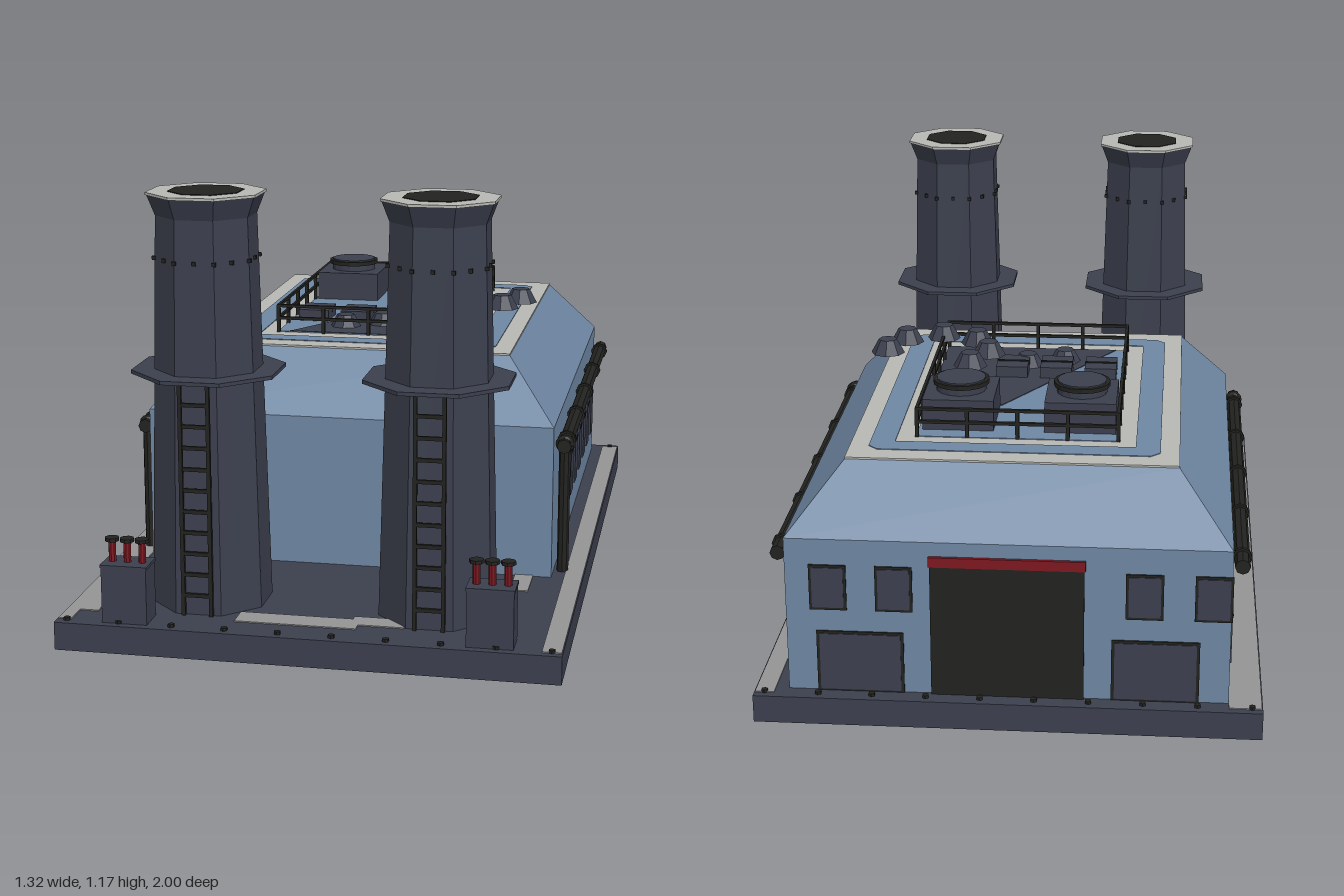
import * as THREE from 'three';

const mat = (name, color, side = THREE.FrontSide) => {
  const m = new THREE.MeshStandardMaterial({ color, side, flatShading: true });
  m.name = name;
  return m;
};

export function createModel() {
  const root = new THREE.Group();
  root.name = 'powerPlant';
  const blue = mat('wallBlue', 0x6f87a3);
  const dark = mat('slateDark', 0x3c404e, THREE.DoubleSide);
  const black = mat('nearBlack', 0x222220);
  const pale = mat('paleTrim', 0xb8b8b4);
  const concrete = mat('concrete', 0x949494);
  const red = mat('signalRed', 0x7e1820);

  const add = (name, geo, m, x = 0, y = 0, z = 0, parent = root) => {
    const mesh = new THREE.Mesh(geo, m);
    mesh.name = name;
    mesh.position.set(x, y, z);
    parent.add(mesh);
    return mesh;
  };
  // Box given by its minimum and maximum corners
  const span = (name, m, x0, x1, y0, y1, z0, z1, parent = root) =>
    add(name, new THREE.BoxGeometry(x1 - x0, y1 - y0, z1 - z0), m,
      (x0 + x1) / 2, (y0 + y1) / 2, (z0 + z1) / 2, parent);
  const group = (name, x = 0, y = 0, z = 0) => {
    const g = new THREE.Group();
    g.name = name;
    g.position.set(x, y, z);
    root.add(g);
    return g;
  };
  // Octagonal prism with flat sides square to the axes, sized across the flats
  const K = Math.cos(Math.PI / 8);
  const oct = (top, bottom, h, open = false) =>
    new THREE.CylinderGeometry(top / K, bottom / K, h, 8, 1, open, Math.PI / 8);
  // Rectangle outline with chamfered corners
  const outline = (Kind, w, d, c) => new Kind([
    [-w + c, -d], [w - c, -d], [w, -d + c], [w, d - c],
    [w - c, d], [-w + c, d], [-w, d - c], [-w, -d + c],
  ].map(([x, y]) => new THREE.Vector2(x, y)));
  const plate = (shape, h) =>
    new THREE.ExtrudeGeometry(shape, { depth: h, bevelEnabled: false }).rotateX(-Math.PI / 2);

  // Foundation: a tray open underneath
  const baseGeo = new THREE.BoxGeometry(1.315, 0.075, 2);
  const idx = Array.from(baseGeo.index.array);
  idx.splice(18, 6);
  baseGeo.setIndex(idx);
  baseGeo.clearGroups();
  add('foundation', baseGeo, dark, 0, 0.0375, 0);
  // Concrete walkways and patches
  for (const [x0, x1, z0, z1] of [
    [-0.655, -0.57, -0.98, 0.9], [0.605, 0.655, -0.98, 0.98], [-0.655, -0.62, 0.9, 0.97],
    [-0.525, -0.47, 0.41, 0.62], [0.47, 0.52, 0.41, 0.54],
    [-0.2, 0.12, 0.84, 0.91], [0.1, 0.24, 0.82, 0.88],
  ]) span('concretePatch', concrete, x0, x1, 0.073, 0.078, z0, z1);
  // Bolts along the front and back edges
  for (let i = 0; i < 10; i++) for (const z of [-0.975, 0.975])
    add('edgeBolt', new THREE.CylinderGeometry(0.009, 0.009, 0.01, 6), black, -0.63 + i * 0.14, 0.078, z);

  // Main hall and its sloping roof
  const CZ = -0.27;
  span('hallWalls', blue, -0.57, 0.57, 0.075, 0.5, CZ - 0.68, CZ + 0.68);
  const roof = new THREE.BoxGeometry(1.14, 0.165, 1.36);
  const p = roof.attributes.position;
  for (let i = 0; i < p.count; i++) if (p.getY(i) > 0) {
    p.setX(i, Math.sign(p.getX(i)) * 0.43);
    p.setZ(i, Math.sign(p.getZ(i)) * 0.54);
  }
  roof.computeVertexNormals();
  add('slopedRoof', roof, blue, 0, 0.5825, CZ);
  add('roofTrim', plate(outline(THREE.Shape, 0.43, 0.54, 0.001), 0.005), pale, 0, 0.665, CZ);
  const ring = outline(THREE.Shape, 0.38, 0.48, 0.025);
  ring.holes.push(outline(THREE.Path, 0.315, 0.42, 0.001));
  add('roofBand', plate(ring, 0.004), blue, 0, 0.668, CZ);
  span('roofDeck', blue, -0.27, 0.265, 0.668, 0.672, -0.65, 0.1);
  const floor = new THREE.Shape([[0.06, 0.4], [0.265, 0.4], [0.265, -0.1], [-0.235, -0.1]]
    .map(([x, y]) => new THREE.Vector2(x, y)));
  add('darkDeck', plate(floor, 0.004), dark, 0, 0.67, 0);

  // Roof railing
  const rail = group('roofRailing');
  for (const y of [0.712, 0.748]) {
    for (const x of [-0.268, 0.263]) span('rail', black, x - 0.004, x + 0.004, y - 0.004, y + 0.004, -0.65, 0.105, rail);
    for (const z of [-0.647, 0.102]) span('rail', black, -0.272, 0.267, y - 0.004, y + 0.004, z - 0.005, z + 0.005, rail);
  }
  const post = (x, z) => span('railPost', black, x - 0.005, x + 0.005, 0.668, 0.75, z - 0.005, z + 0.005, rail);
  for (let i = 0; i <= 6; i++) for (const x of [-0.268, 0.263]) post(x, -0.647 + i * 0.1248);
  for (let i = 1; i < 4; i++) for (const z of [-0.647, 0.102]) post(-0.268 + i * 0.1328, z);

  // Cooling fans
  for (const x of [-0.165, 0.16]) {
    const fan = group('coolingFan', x, 0.668, -0.5);
    add('fanBox', new THREE.BoxGeometry(0.19, 0.088, 0.2), dark, 0, 0.044, 0, fan);
    add('fanDrum', new THREE.CylinderGeometry(0.068, 0.068, 0.03, 16), dark, 0, 0.103, 0, fan);
    add('fanRim', new THREE.CylinderGeometry(0.076, 0.076, 0.012, 16), black, 0, 0.112, 0, fan);
    add('fanCap', new THREE.CylinderGeometry(0.066, 0.066, 0.008, 16), dark, 0, 0.118, 0, fan);
  }
  // Small air handlers
  for (const x of [-0.2, -0.073, 0.053]) {
    span('airHandler', dark, x - 0.045, x + 0.045, 0.668, 0.705, -0.168, -0.06);
    span('airHandlerSlot', black, x - 0.046, x + 0.046, 0.69, 0.708, -0.117, -0.111);
  }
  // Domed vents: six in an arc, two on the deck
  const dome = new THREE.CylinderGeometry(0.026, 0.048, 0.04, 8);
  for (let i = 0; i < 6; i++) {
    const a = i * Math.PI / 4;
    add('raisedVent', dome, dark, 0.265 + 0.145 * Math.cos(a), 0.755, -0.15 + 0.145 * Math.sin(a));
  }
  for (const [x, z] of [[0.015, -0.05], [-0.09, -0.005]]) add('deckVent', dome, dark, x, 0.688, z);

  for (const s of [-1, 1]) {
    // Side windows with a crossbar
    for (let i = 0; i < 8; i++) {
      const z = 0.15 - i * 0.143;
      add('sideWindow', new THREE.BoxGeometry(0.008, 0.2, 0.078), dark, s * 0.571, 0.26, z);
      add('windowBar', new THREE.BoxGeometry(0.008, 0.008, 0.078), black, s * 0.573, 0.293, z);
    }
    // Side pipe with elbow and clamps
    const px = s * 0.595;
    add('downPipe', new THREE.CylinderGeometry(0.016, 0.016, 0.365, 8), black, px, 0.2575, 0.345);
    add('longPipe', new THREE.CylinderGeometry(0.02, 0.02, 1.285, 8).rotateX(Math.PI / 2), black, px, 0.44, -0.267);
    add('pipeElbow', new THREE.SphereGeometry(0.026, 8, 6), black, px, 0.44, 0.345);
    for (let i = 0; i < 5; i++)
      add('pipeClamp', new THREE.CylinderGeometry(0.026, 0.026, 0.012, 8).rotateX(Math.PI / 2), black, px, 0.44, 0.295 - i * 0.285);

    // Rear service panels
    span('rearPanel', black, s * 0.38 - 0.113, s * 0.38 + 0.113, 0.075, 0.245, -0.954, -0.947);
    span('rearPanelFace', dark, s * 0.38 - 0.105, s * 0.38 + 0.105, 0.08, 0.238, -0.956, -0.949);

    // Smokestack
    const stack = group('smokestack', s * 0.305, 0, 0.728);
    add('stackShaft', oct(0.122, 0.148, 1.035), dark, 0, 0.5925, 0, stack);
    add('stackFlare', oct(0.142, 0.122, 0.055, true), dark, 0, 1.1375, 0, stack);
    add('stackLip', oct(0.145, 0.145, 0.007), pale, 0, 1.1665, 0, stack);
    add('stackMouth', oct(0.092, 0.092, 0.006), black, 0, 1.169, 0, stack);
    add('stackPlatform', oct(0.188, 0.188, 0.01), dark, 0, 0.703, 0, stack);
    for (let i = 0; i < 16; i++) {
      const a = i * Math.PI / 8;
      const r = i % 2 ? 0.126 / K : 0.126;
      add('stackRivet', new THREE.BoxGeometry(0.01, 0.01, 0.01), black, r * Math.sin(a), 1, r * Math.cos(a), stack);
    }
    // Ladder up to the platform
    for (const x of [-0.037, 0.037]) span('ladderRail', black, x - 0.005, x + 0.005, 0.075, 0.7, 0.15, 0.16, stack);
    for (let i = 0; i < 11; i++) {
      const y = 0.13 + i * 0.0567;
      span('ladderRung', black, -0.037, 0.037, y - 0.005, y + 0.005, 0.151, 0.159, stack);
    }
    // Flue duct into the hall and vent on the slope
    span('flueDuct', black, s * 0.305 - 0.043, s * 0.305 + 0.043, 0.25, 0.34, 0.4, 0.6);
    add('slopeVent', oct(0.04, 0.04, 0.055), black, s * 0.305, 0.5445, 0.352);

    // Transformer with three insulators
    const unit = group('transformer', s * 0.474, 0.075, 0.938);
    add('transformerBox', new THREE.BoxGeometry(0.12, 0.15, 0.08), dark, 0, 0.075, 0, unit);
    add('transformerLid', new THREE.BoxGeometry(0.124, 0.008, 0.084), dark, 0, 0.152, 0, unit);
    for (const x of [-0.04, 0, 0.04]) {
      add('insulator', new THREE.CylinderGeometry(0.01, 0.01, 0.06, 8), red, x, 0.183, 0, unit);
      add('insulatorCap', new THREE.CylinderGeometry(0.019, 0.019, 0.009, 8), black, x, 0.215, 0, unit);
    }
  }

  // Rear door, lintel and small windows
  span('rearDoor', black, -0.197, 0.197, 0.075, 0.435, -0.957, -0.948);
  span('doorLintel', red, -0.2, 0.2, 0.435, 0.462, -0.959, -0.949);
  for (const x of [0.46, 0.29, -0.35, -0.525]) {
    span('rearWindowFrame', black, x - 0.048, x + 0.048, 0.305, 0.43, -0.954, -0.947);
    span('rearWindow', dark, x - 0.041, x + 0.041, 0.312, 0.423, -0.956, -0.949);
  }
  return root;
}
